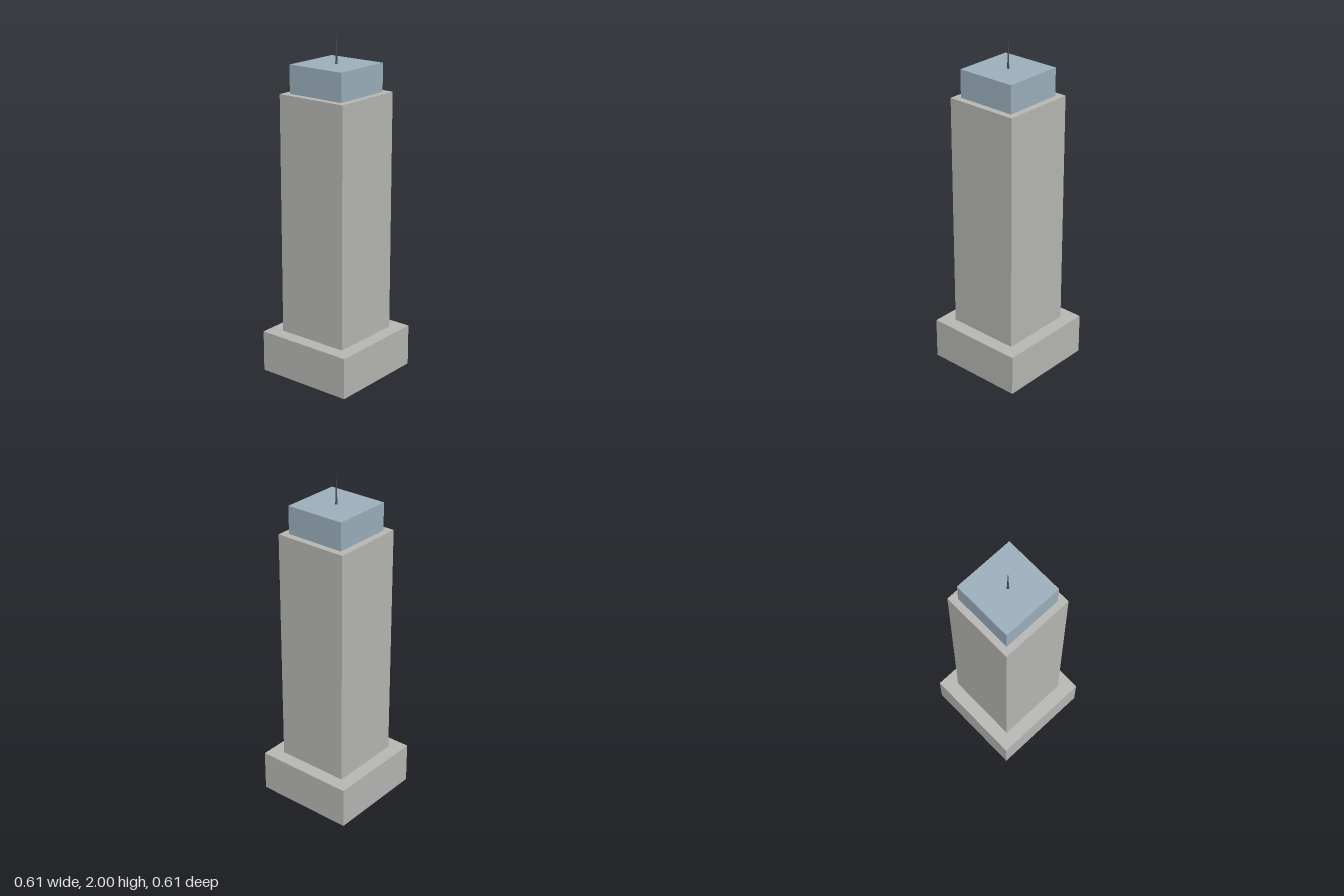
import * as THREE from 'three';

const concrete = new THREE.MeshStandardMaterial({ color: 0xb8b8b5, side: THREE.DoubleSide });
concrete.name = 'concrete grey';
const glass = new THREE.MeshStandardMaterial({ color: 0x9db1be, side: THREE.DoubleSide });
glass.name = 'glass blue';
const steel = new THREE.MeshStandardMaterial({ color: 0x4c4c4c, flatShading: true });
steel.name = 'dark steel';

// Square block with walls and a roof, open underneath
function openBlock(name, halfWidth, bottom, top, material) {
  const height = top - bottom;
  const geometry = new THREE.BoxGeometry(halfWidth * 2, height, halfWidth * 2);
  // Leave out the underside (side 3 of the box, six indices per side)
  const index = Array.from(geometry.index.array);
  index.splice(18, 6);
  geometry.setIndex(index);
  geometry.clearGroups();
  const mesh = new THREE.Mesh(geometry, material);
  mesh.name = name;
  mesh.position.y = bottom + height / 2;
  return mesh;
}

// Upright six-sided tapered rod
function rod(name, bottomRadius, topRadius, bottom, top) {
  const geometry = new THREE.CylinderGeometry(topRadius, bottomRadius, top - bottom, 6);
  const mesh = new THREE.Mesh(geometry, steel);
  mesh.name = name;
  mesh.position.y = (bottom + top) / 2;
  return mesh;
}

export function createModel() {
  const model = new THREE.Group();
  model.name = 'skyscraper';

  // Stepped tower, from the ground up
  model.add(
    openBlock('podium', 0.306, 0, 0.248, concrete),
    openBlock('towerShaft', 0.224, 0.248, 1.675, concrete),
    openBlock('glassCrown', 0.184, 1.675, 1.84, glass)
  );

  // Rooftop mast
  const antenna = new THREE.Group();
  antenna.name = 'antenna';
  antenna.add(
    rod('antennaFoot', 0.008, 0.007, 1.84, 1.85),
    rod('antennaMast', 0.006, 0.0015, 1.85, 2)
  );
  model.add(antenna);

  return model;
}
